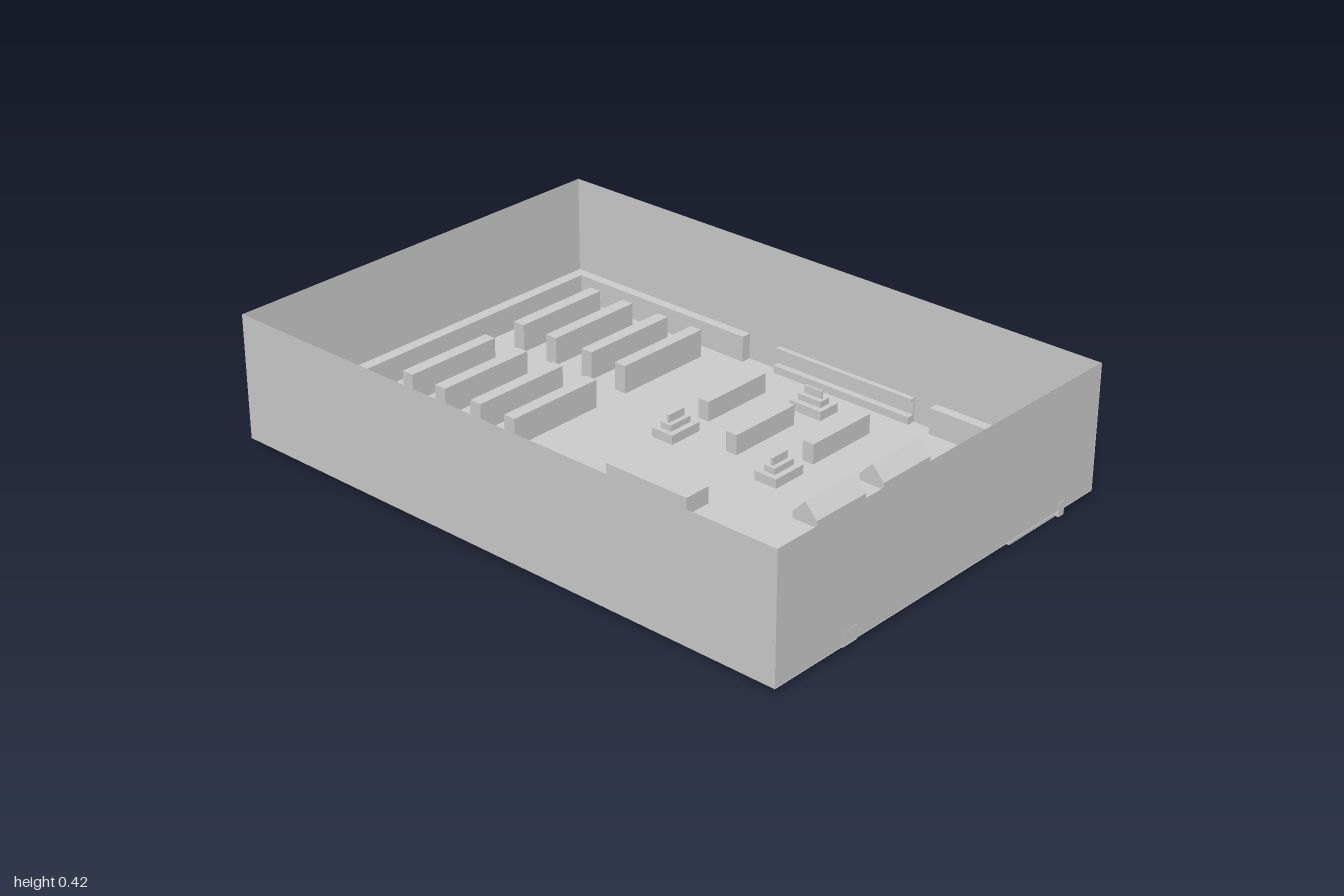
import * as THREE from 'three';

const FLOOR = 0.02, WALL_TOP = 0.42, Z0 = -0.688, Z1 = 0.697;
const grey = new THREE.MeshStandardMaterial({ color: 0xcccccc, flatShading: true, side: THREE.DoubleSide });

export function createModel() {
  const root = new THREE.Group();
  root.name = 'storeInterior';

  const add = (name, geometry, parent = root) => {
    const mesh = new THREE.Mesh(geometry, grey);
    mesh.name = name;
    parent.add(mesh);
    return mesh;
  };
  // Box given by its limits on each axis
  const box = (name, x0, x1, z0, z1, y0, y1, parent = root) => {
    const mesh = add(name, new THREE.BoxGeometry(x1 - x0, y1 - y0, z1 - z0), parent);
    mesh.position.set((x0 + x1) / 2, (y0 + y1) / 2, (z0 + z1) / 2);
    return mesh;
  };
  const group = (name) => {
    const g = new THREE.Group();
    g.name = name;
    root.add(g);
    return g;
  };

  // Open-topped room: thin floor and four thin walls
  const depth = Z1 - Z0, zMid = (Z0 + Z1) / 2, height = WALL_TOP - FLOOR, yMid = (WALL_TOP + FLOOR) / 2;
  const floor = add('floor', new THREE.PlaneGeometry(2, depth));
  floor.rotation.x = -Math.PI / 2;
  floor.position.set(0, FLOOR, zMid);
  for (const s of [1, -1]) {
    const endWall = add(s > 0 ? 'frontWall' : 'backWall', new THREE.PlaneGeometry(2, height));
    endWall.position.set(0, yMid, s > 0 ? Z1 : Z0);
    const sideWall = add(s > 0 ? 'leftWall' : 'rightWall', new THREE.PlaneGeometry(depth, height));
    sideWall.rotation.y = Math.PI / 2;
    sideWall.position.set(s * 0.998, yMid, zMid);
  }

  // Shelving along the walls
  box('backWallShelf', -0.96, -0.27, -0.691, -0.655, FLOOR, 0.105);
  box('backWallShelf', 0.45, 0.79, -0.691, -0.655, FLOOR, 0.105);
  box('rightWallShelf', -1, -0.96, -0.691, 0.35, FLOOR, 0.105);
  box('leftWallShelf', 0.95, 0.992, -0.29, 0.05, 0.015, 0.1);

  // Chiller cabinet on the back wall: low tray, back panel and top ledge
  const chiller = group('chiller');
  box('chillerTray', -0.15, 0.37, -0.695, -0.66, 0.003, 0.045, chiller);
  box('chillerBack', -0.15, 0.37, -0.692, -0.683, 0.045, 0.1, chiller);
  box('chillerLedge', -0.15, 0.37, -0.692, -0.67, 0.092, 0.1, chiller);

  // Tall aisle shelves, two rows of four
  for (const x of [-0.84, -0.7, -0.55, -0.41])
    for (const z of [-0.595, -0.125]) box('aisleShelf', x - 0.021, x + 0.021, z, z + 0.345, FLOOR, 0.112);

  // Lower shelves in the middle
  for (const [x, z] of [[-0.1, -0.54], [0.1, -0.435], [0.3, -0.54]])
    box('lowShelf', x - 0.02, x + 0.02, z, z + 0.26, FLOOR, 0.085);

  // Stepped promotion stands with an upright panel
  for (const [x, z, turn] of [[-0.1, -0.157, 0], [0.295, -0.157, 0], [0.103, -0.545, 1]]) {
    const stand = group('promotionStand');
    box('standBase', -0.04, 0.04, -0.06, 0.06, FLOOR, 0.05, stand);
    box('standStep', -0.02, 0.02, -0.043, 0.043, 0.05, 0.07, stand);
    box('standPanel', -0.004, 0.004, -0.033, 0.033, 0.07, 0.095, stand);
    stand.position.set(x, 0, z);
    stand.rotation.y = turn * Math.PI / 2;
  }

  // Sloped produce displays, extruded from their end profile
  const prism = (name, points, x, z0, z1) => {
    const shape = new THREE.Shape(points.map(([px, py]) => new THREE.Vector2(px, py)));
    add(name, new THREE.ExtrudeGeometry(shape, { depth: z1 - z0, bevelEnabled: false })).position.set(x, 0, z0);
  };
  const tent = [[-0.044, 0.01], [0.044, 0.01], [0.044, 0.042], [0, 0.088], [-0.044, 0.042]];
  for (const x of [0.52, 0.685, 0.853])
    for (const z of [-0.512, -0.215]) prism('produceDisplay', tent, x, z, z + 0.215);
  prism('halfProduceDisplay', [[-0.038, 0.005], [0, 0.005], [0, 0.088], [-0.038, 0.042]], 0.995, -0.515, -0.3);

  // Curved service counter in the back left corner
  const arc = new THREE.Shape();
  arc.absellipse(0, 0, 0.192, 0.168, Math.PI, Math.PI * 1.5, false);
  arc.absellipse(0, 0, 0.167, 0.143, Math.PI * 1.5, Math.PI, true);
  const counter = add('curvedCounter', new THREE.ExtrudeGeometry(arc, { depth: 0.045, bevelEnabled: false, curveSegments: 12 }));
  counter.rotation.x = -Math.PI / 2;
  counter.scale.y = -1;
  counter.geometry.scale(1, -1, 1);
  counter.scale.y = 1;
  counter.geometry.scale(1, -1, 1);
  counter.position.set(1, 0, -0.695);

  // Service desk in the open middle
  box('serviceDesk', -0.055, 0.25, 0.095, 0.187, 0.008, 0.075);

  // Checkouts with a side till table
  for (const [x, z] of [[-0.75, 0.315], [-0.53, 0.315], [-0.31, 0.315], [0.45, 0.3], [0.665, 0.3], [0.895, 0.3]]) {
    const checkout = group('checkout');
    box('checkoutBelt', x, x + 0.064, z, z + 0.24, 0.015, 0.078, checkout);
    box('tillTable', x + 0.064, x + 0.104, z + 0.07, z + 0.127, 0.015, 0.06, checkout);
  }

  // Arched rails between the checkouts
  for (const [x, z] of [[-0.633, 0.355], [-0.41, 0.355], [0.353, 0.337], [0.565, 0.337], [0.793, 0.337]]) {
    const rail = group('checkoutRail');
    const a = x - 0.006, b = x + 0.006, end = z + 0.19;
    box('railBar', a, b, z, end, 0.09, 0.102, rail);
    box('railPost', a, b, z, z + 0.012, 0.005, 0.09, rail);
    box('railPost', a, b, end - 0.012, end, 0.005, 0.09, rail);
  }

  // L-shaped barrier in the front right corner
  const barrier = group('cornerBarrier');
  box('barrierLong', -1, -0.838, 0.535, 0.548, 0.005, 0.06, barrier);
  box('barrierShort', -0.85, -0.838, 0.352, 0.535, 0.005, 0.06, barrier);

  return root;
}
